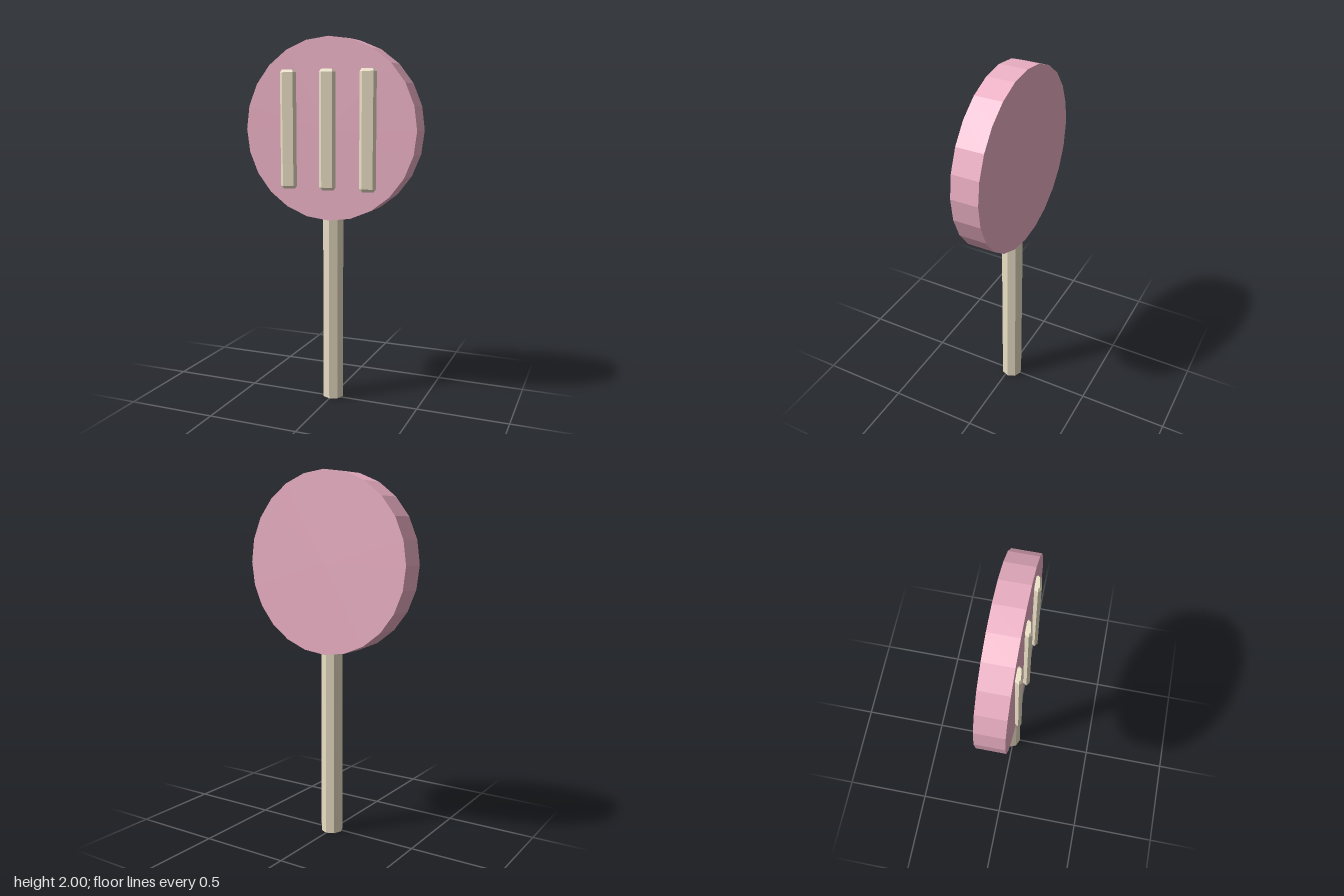
import * as THREE from 'three';

export function createModel() {
  const model = new THREE.Group();
  const pink = new THREE.MeshStandardMaterial({ color: 0xeeb2c6, flatShading: true });
  const cream = new THREE.MeshStandardMaterial({ color: 0xeee2c8, flatShading: true });

  const add = (name, geometry, material, x, y, z) => {
    const mesh = new THREE.Mesh(geometry, material);
    mesh.name = name;
    mesh.position.set(x, y, z);
    model.add(mesh);
    return mesh;
  };

  // Thick round disc facing the front
  const disc = new THREE.CylinderGeometry(0.488, 0.488, 0.15, 24).rotateX(Math.PI / 2);
  add('disc', disc, pink, 0, 1.512, -0.02);

  // Octagonal stick, its top sunk slightly into the disc
  add('stick', new THREE.CylinderGeometry(0.06, 0.06, 1.06, 8), cream, 0, 0.53, -0.017);

  // Three upright bars with a flat hexagonal section and bevelled ends
  const section = new THREE.Shape([
    [0.034, 0], [0.026, 0.009], [-0.026, 0.009],
    [-0.034, 0], [-0.026, -0.009], [0.026, -0.009],
  ].map(([x, y]) => new THREE.Vector2(x, y)));
  const bar = new THREE.ExtrudeGeometry(section, {
    depth: 0.61, bevelSize: 0.008, bevelThickness: 0.015, bevelSegments: 1,
  });
  bar.translate(0, 0, -0.305).rotateX(-Math.PI / 2);
  ['rightBar', 'middleBar', 'leftBar'].forEach((name, i) => {
    const mesh = add(name, bar, cream, (i - 1) * 0.2275, 1.511, 0.068);
    mesh.rotation.y = THREE.MathUtils.degToRad(10); // each bar is turned a little
  });

  return model;
}
